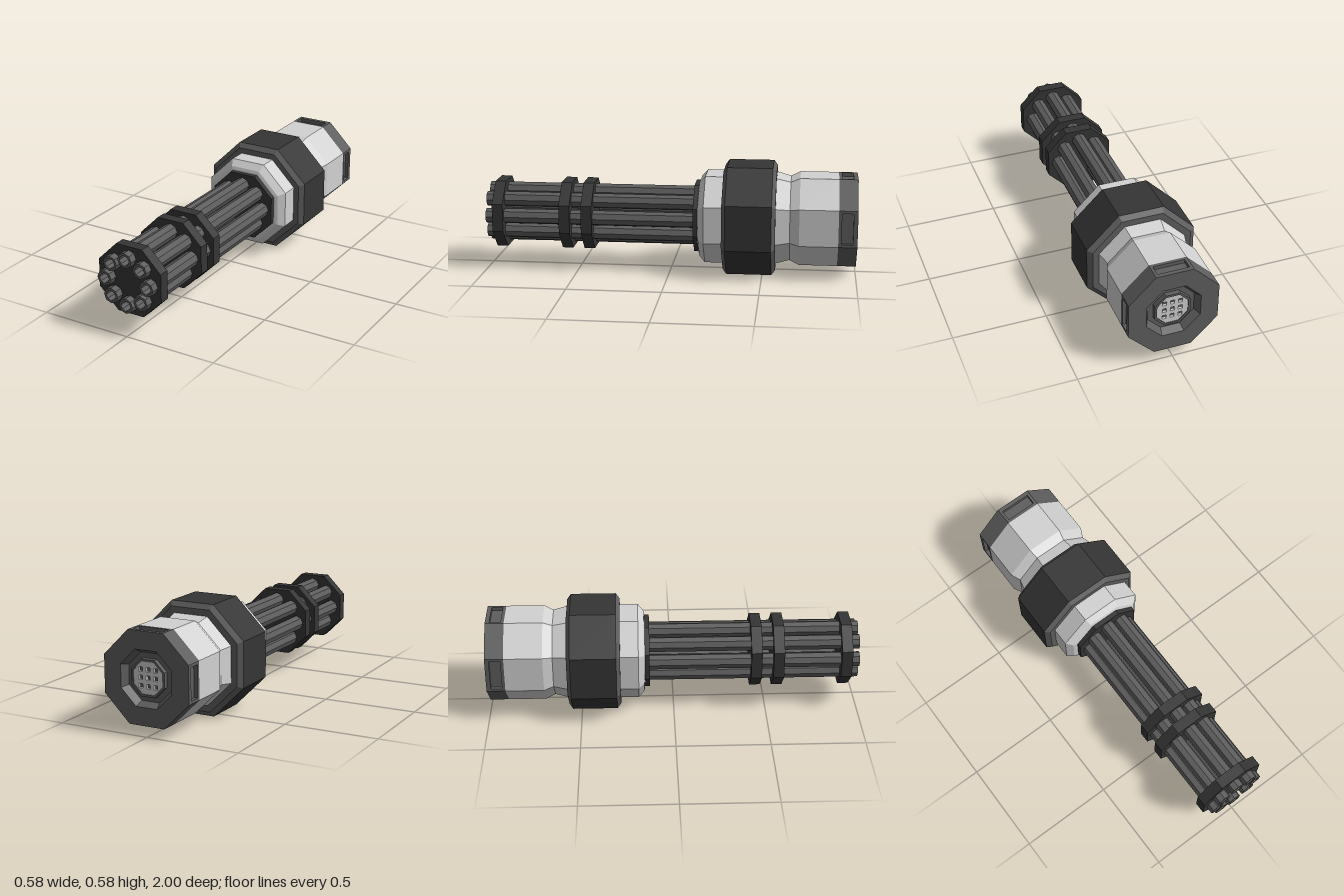
import * as THREE from 'three';

const light = new THREE.MeshStandardMaterial({ name: 'lightGrey', color: 0xd2d2d2 });
const grey = new THREE.MeshStandardMaterial({ name: 'midGrey', color: 0x5e5e5e });
const dark = new THREE.MeshStandardMaterial({ name: 'charcoal', color: 0x353535 });

const EIGHTH = Math.PI / 4;
const TO_CORNER = 1 / Math.cos(EIGHTH / 2);
const ORBIT = 0.123; // distance of each barrel from the axis

// Hard-edged facets
function faceted(geometry) {
  const g = geometry.index ? geometry.toNonIndexed() : geometry;
  g.computeVertexNormals();
  return g;
}

function add(parent, name, geometry, material) {
  const mesh = new THREE.Mesh(faceted(geometry), material);
  mesh.name = name;
  parent.add(mesh);
  return mesh;
}

// Eight-sided body along z; profile points are [distance to flat, z], from back to front
function octBody(profile) {
  const points = profile.map(([a, z]) => new THREE.Vector2(a * TO_CORNER, z));
  return new THREE.LatheGeometry(points, 8, EIGHTH / 2).rotateX(Math.PI / 2);
}

function octagon(radius, turn = 0, cx = 0, cy = 0, Type = THREE.Shape) {
  const pts = [];
  for (let i = 0; i < 8; i++) {
    const t = turn + i * EIGHTH;
    pts.push(new THREE.Vector2(cx + radius * Math.cos(t), cy + radius * Math.sin(t)));
  }
  return new Type(pts);
}

function rectangle(x0, x1, y0, y1, Type = THREE.Shape) {
  return new Type([[x0, y0], [x1, y0], [x1, y1], [x0, y1]].map(p => new THREE.Vector2(...p)));
}

function slab(shape, z0, z1) {
  return new THREE.ExtrudeGeometry(shape, { depth: z1 - z0, bevelEnabled: false }).translate(0, 0, z0);
}

export function createModel() {
  const root = new THREE.Group();
  root.name = 'rotaryBarrelUnit';
  const model = new THREE.Group();
  model.name = 'assembly';
  model.position.y = 0.292;
  root.add(model);

  // Ring of hollow barrels
  const barrels = new THREE.Group();
  barrels.name = 'barrels';
  model.add(barrels);
  const tube = octagon(0.041);
  tube.holes.push(octagon(0.028, 0, 0, 0, THREE.Path));
  const tubeGeometry = slab(tube, -0.15, 1);
  for (let i = 0; i < 8; i++) {
    const barrel = add(barrels, 'barrel', tubeGeometry, grey);
    barrel.position.set(ORBIT * Math.cos(i * EIGHTH), ORBIT * Math.sin(i * EIGHTH), 0);
  }

  // Collars that clamp the barrels
  const plate = octagon(0.182 * TO_CORNER, EIGHTH / 2);
  for (let i = 0; i < 8; i++) {
    plate.holes.push(octagon(0.036, 0, ORBIT * Math.cos(i * EIGHTH), ORBIT * Math.sin(i * EIGHTH), THREE.Path));
  }
  const collars = [['muzzleCollar', 0.9, 0.958], ['frontCollar', 0.535, 0.593],
    ['middleCollar', 0.415, 0.473], ['basePlate', -0.155, -0.13]];
  for (const [name, z0, z1] of collars) add(model, name, slab(plate, z0, z1), dark);

  // Pale housing with a waist behind the ring
  add(model, 'housing', octBody([[0.237, -0.9], [0.237, -0.695], [0.214, -0.645], [0.234, -0.565],
    [0.237, -0.19], [0.205, -0.16], [0.19, -0.155], [0, -0.155]]), light);

  // Heavy ring with paler chamfers
  add(model, 'ringBand', octBody([[0.292, -0.55], [0.292, -0.307]]), dark);
  add(model, 'ringFrontChamfer', octBody([[0.292, -0.307], [0.266, -0.287], [0.2, -0.287]]), grey);
  add(model, 'ringBackChamfer', octBody([[0.2, -0.57], [0.266, -0.57], [0.292, -0.55]]), grey);

  // Rear cap with a stepped socket
  add(model, 'rearCap', octBody([[0, -0.965], [0.082, -0.965], [0.082, -0.985], [0.094, -0.985],
    [0.094, -0.96], [0.122, -0.96], [0.143, -1], [0.217, -1], [0.217, -0.9]]), grey);

  // Cap side panels, every second one with a slot
  const capPanels = new THREE.Group();
  capPanels.name = 'capPanels';
  model.add(capPanels);
  const half = 0.237 * Math.tan(EIGHTH / 2);
  for (let i = 0; i < 8; i++) {
    const panel = rectangle(-half, half, 0.9, 1);
    if (i % 2 === 0) panel.holes.push(rectangle(-0.083, 0.083, 0.917, 0.977, THREE.Path));
    const geometry = slab(panel, 0.217, 0.237).rotateX(-Math.PI / 2).rotateZ(i * EIGHTH);
    add(capPanels, 'capPanel', geometry, grey);
  }

  // Vent with nine square holes
  const vent = octagon(0.082 * TO_CORNER, EIGHTH / 2);
  for (let i = -1; i <= 1; i++) {
    for (let j = -1; j <= 1; j++) {
      const x = i * 0.042, y = j * 0.042;
      vent.holes.push(rectangle(x - 0.011, x + 0.011, y - 0.011, y + 0.011, THREE.Path));
    }
  }
  add(model, 'vent', slab(vent, -0.98, -0.966), light);

  return root;
}
